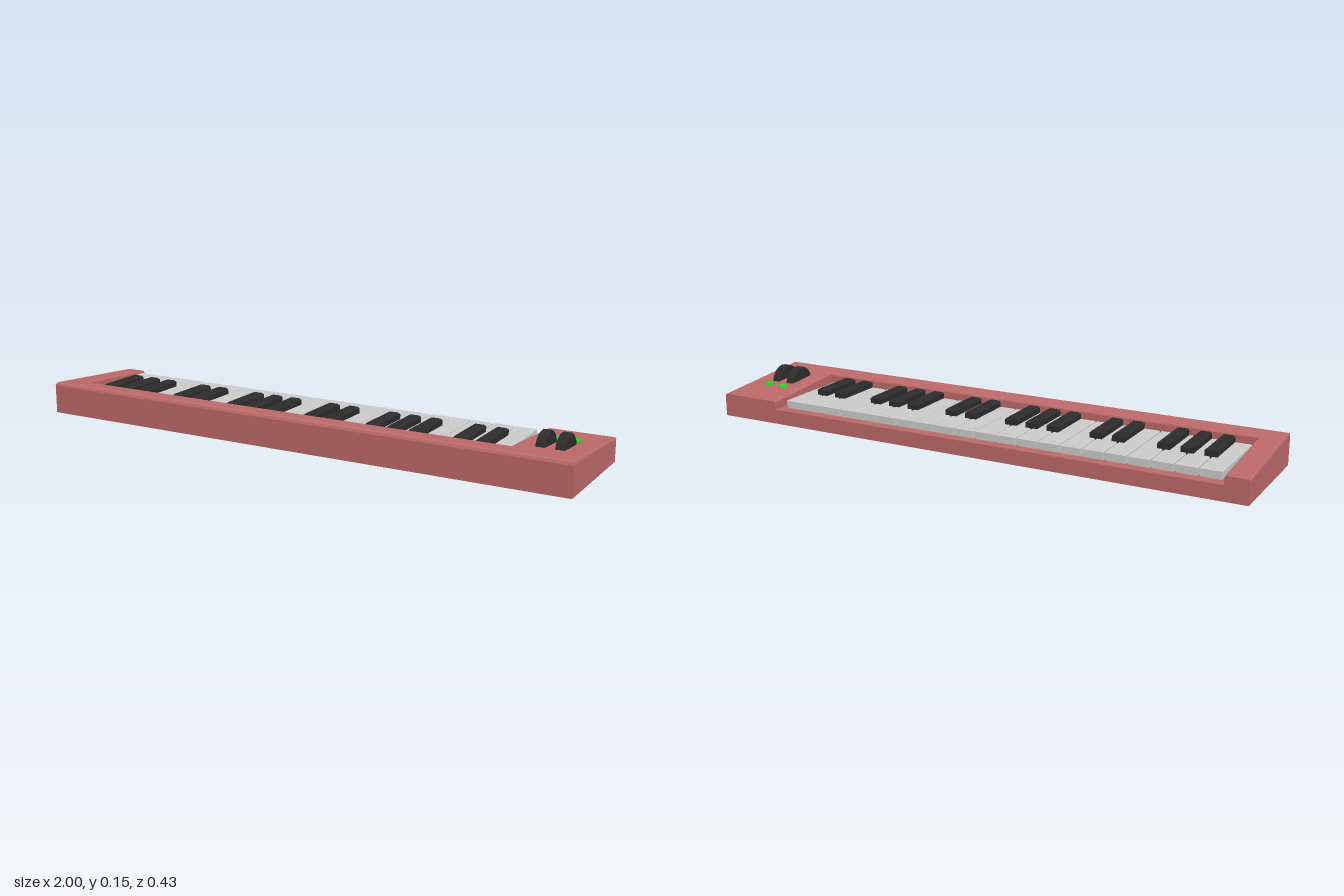
import * as THREE from 'three';

const material = (color) => new THREE.MeshStandardMaterial({ color, flatShading: true });

// Height of the sloping top panel
const panelY = (z) => 0.0995 + 0.077 * z;

// Outline in (x, z) extruded upward from y = 0 with a chamfered top edge and a flat bottom
function chamferedSlab(outline, height, bevel, segments = 1) {
  const shape = new THREE.Shape(outline.map(([x, z]) => new THREE.Vector2(x, -z)));
  const geometry = new THREE.ExtrudeGeometry(shape, {
    depth: height - bevel, bevelEnabled: true, bevelThickness: bevel,
    bevelSize: bevel, bevelOffset: -bevel, bevelSegments: segments,
  });
  geometry.rotateX(-Math.PI / 2);
  const p = geometry.attributes.position;
  for (let i = 0; i < p.count; i++) p.setY(i, Math.max(0, p.getY(i)));
  geometry.computeVertexNormals();
  return geometry;
}

const rect = (w, z0, z1) => [[-w / 2, z1], [w / 2, z1], [w / 2, z0], [-w / 2, z0]];

export function createModel() {
  const model = new THREE.Group();
  model.name = 'keyboard';
  const red = material(0xbd6a6a);
  const white = material(0xcccccc);
  const black = material(0x2c2c2c);
  const green = material(0x18e018);

  const add = (parent, name, geometry, mat, x = 0, y = 0, z = 0) => {
    const mesh = new THREE.Mesh(geometry, mat);
    mesh.name = name;
    mesh.position.set(x, y, z);
    parent.add(mesh);
    return mesh;
  };
  const group = (name) => {
    const g = new THREE.Group();
    g.name = name;
    model.add(g);
    return g;
  };

  // Casing: U-shaped surround, sheared to the sloping panel, with a rounder front edge
  const left = -0.92, right = 0.77, back = -0.215, front = 0.215, well = 0.13;
  const casing = chamferedSlab([
    [-1, front], [1, front], [1, back], [right, back],
    [right, well], [left, well], [left, back], [-1, back],
  ], 1, 0.006, 2);
  const p = casing.attributes.position;
  for (let i = 0; i < p.count; i++) {
    const y = p.getY(i);
    let z = p.getZ(i);
    const isFront = z > 0.2;
    if (isFront) z = front - (front - z) * 2.3;
    if (z < -0.2) z = back;
    p.setZ(i, z);
    if (y > 0.5) p.setY(i, panelY(Math.min(z, 0.201)) + (y - 1) * (isFront ? 2 : 1));
  }
  casing.computeVertexNormals();
  add(model, 'casing', casing, red);

  // Floor of the key well, open at the back
  const floorY = 0.053;
  add(model, 'keyBed', new THREE.BoxGeometry(right - left, floorY, well - back), red,
    (left + right) / 2, floorY / 2, (well + back) / 2);

  // White keys: an overhanging cap on a slightly shorter stem
  const pitch = 0.0786, keysLeft = -0.905, count = 21;
  const whiteKeys = group('whiteKeys');
  const cap = chamferedSlab(rect(pitch - 0.005, -0.18, 0.12), 0.017, 0.003);
  const stem = new THREE.BoxGeometry(pitch - 0.008, 0.016, 0.294);
  for (let i = 0; i < count; i++) {
    const x = keysLeft + pitch * (i + 0.5);
    add(whiteKeys, 'whiteKeyCap', cap, white, x, 0.067, 0);
    add(whiteKeys, 'whiteKeyStem', stem, white, x, 0.06, -0.027);
  }

  // Black keys in alternating groups of three and two
  const blackKeys = group('blackKeys');
  const blackKey = chamferedSlab(rect(0.043, -0.064, 0.117), 0.034, 0.006);
  for (let i = 1; i < count; i++) {
    if (i % 7 === 0 || i % 7 === 4) continue;
    add(blackKeys, 'blackKey', blackKey, black, keysLeft + pitch * i, 0.074, 0);
  }

  // Two control wheels, each with an indicator light behind it
  const controls = group('controls');
  const r = 0.0615, h = 0.016, c = 0.004;
  const wheel = new THREE.LatheGeometry(
    [[0, -h], [r - c, -h], [r, c - h], [r, h - c], [r - c, h], [0, h]]
      .map(([x, y]) => new THREE.Vector2(x, y)), 24).rotateZ(Math.PI / 2);
  const light = new THREE.CylinderGeometry(0.015, 0.018, 0.012, 10);
  for (const x of [0.85, 0.914]) {
    add(controls, 'controlWheel', wheel, black, x, 0.0868, 0.035);
    add(controls, 'indicatorLight', light, green, x, 0.095, -0.066);
  }
  return model;
}
